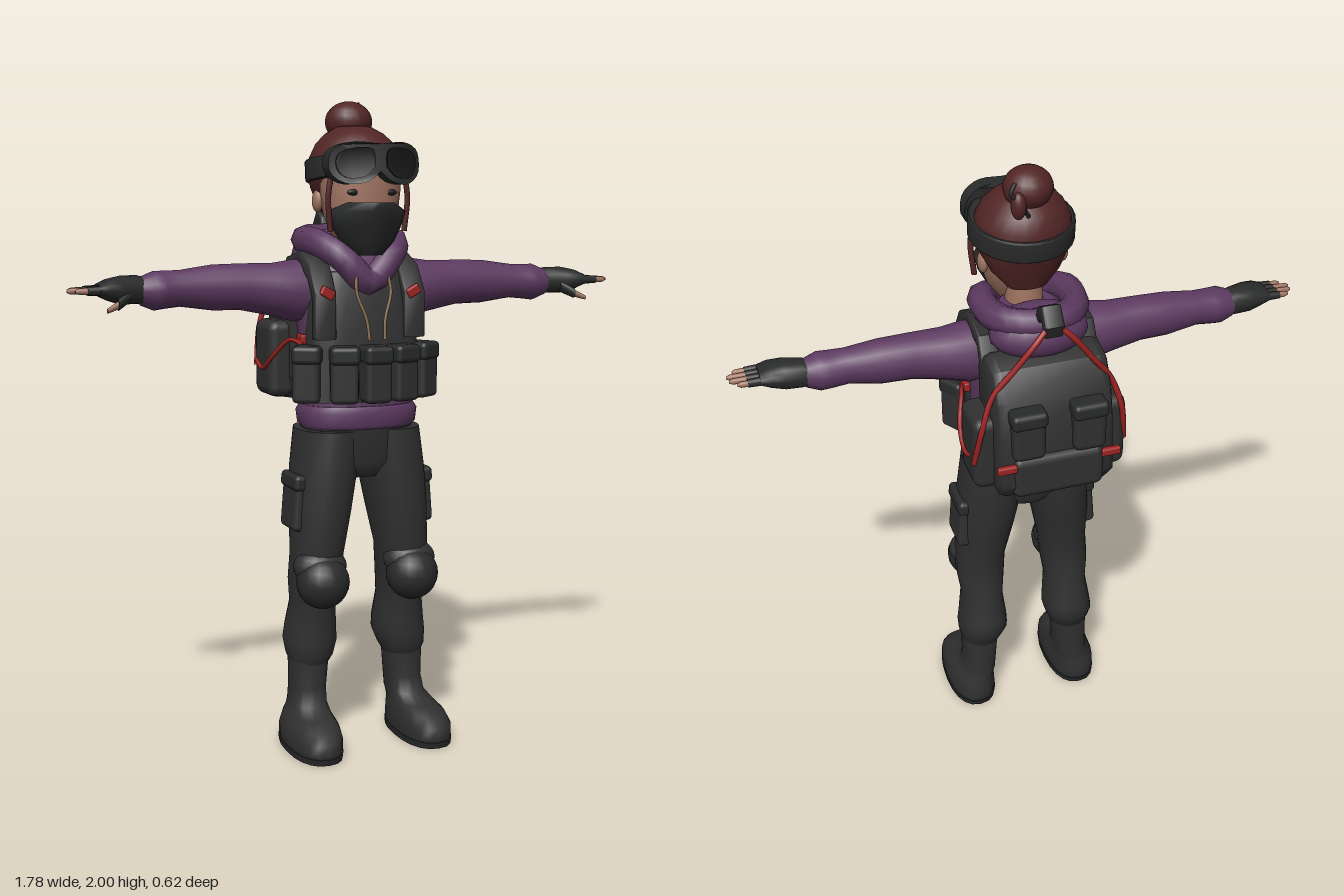
import * as THREE from 'three';
import { RoundedBoxGeometry } from 'three/addons/geometries/RoundedBoxGeometry.js';
import { toCreasedNormals } from 'three/addons/utils/BufferGeometryUtils.js';

const mat = (name, color) => {
  const m = new THREE.MeshStandardMaterial({ color });
  m.name = name;
  return m;
};
const V = (x, y, z) => new THREE.Vector3(x, y, z);

export function createModel() {
  const root = new THREE.Group();
  root.name = 'hooded traveller';
  const cloth = mat('charcoal cloth', 0x303030);
  const gear = mat('dark gear', 0x292a2a);
  const black = mat('black lens', 0x191a1b);
  const purple = mat('purple hoodie', 0x5c3960);
  const hair = mat('dark red hair', 0x522525);
  const skin = mat('skin', 0xa07462);
  const red = mat('red cord', 0x9c2422);
  const tan = mat('tan drawstring', 0x85694c);

  const add = (name, geo, m, pos = [0, 0, 0]) => {
    const mesh = new THREE.Mesh(geo, m);
    mesh.name = name;
    mesh.position.set(...pos);
    root.add(mesh);
    return mesh;
  };

  // Closed skin through horizontal superellipse rings: [y, cx, cz, rx, rz]
  const loft = (rings, p = 2, n = 20) => {
    const pos = [], idx = [];
    const ring = ([y, cx, cz, rx, rz]) => {
      for (let j = 0; j < n; j++) {
        const a = j / n * Math.PI * 2, c = Math.cos(a), s = Math.sin(a);
        pos.push(cx + rx * Math.sign(c) * Math.abs(c) ** (2 / p), y,
          cz + rz * Math.sign(s) * Math.abs(s) ** (2 / p));
      }
    };
    rings.forEach(ring);
    for (let i = 0; i < rings.length - 1; i++) for (let j = 0; j < n; j++) {
      const a = i * n + j, b = i * n + (j + 1) % n;
      idx.push(a, a + n, b, b, a + n, b + n);
    }
    [rings[0], rings[rings.length - 1]].forEach((r, top) => {
      const o = pos.length / 3;
      ring(r);
      pos.push(r[1], r[0], r[2]);
      for (let j = 0; j < n; j++) {
        const a = o + j, b = o + (j + 1) % n;
        idx.push(o + n, top ? b : a, top ? a : b);
      }
    });
    const g = new THREE.BufferGeometry();
    g.setAttribute('position', new THREE.Float32BufferAttribute(pos, 3));
    g.setIndex(idx);
    g.computeVertexNormals();
    return g;
  };

  const ball = (name, m, pos, r) =>
    add(name, new THREE.SphereGeometry(1, 18, 12).scale(...r), m, pos);
  const box = (name, m, pos, size, r = 0.015) =>
    add(name, new RoundedBoxGeometry(...size, 2, r), m, pos);
  const tube = (name, m, pts, r, closed = false) =>
    add(name, new THREE.TubeGeometry(new THREE.CatmullRomCurve3(pts.map(p => V(...p)), closed), 32, r, 8, closed), m);

  // Side outline of [z, y] points given a width along x
  const sideExtrude = (pts, width, bevel) => {
    const shape = new THREE.Shape(pts.map(p => new THREE.Vector2(...p)));
    const g = new THREE.ExtrudeGeometry(shape, {
      depth: width - 2 * bevel, bevelEnabled: bevel > 0, bevelSize: bevel, bevelThickness: bevel,
      bevelOffset: -bevel, bevelSegments: 2
    });
    g.translate(0, 0, bevel - width / 2).rotateY(-Math.PI / 2);
    return toCreasedNormals(g, 0.8);
  };

  // Head, neck and hair
  add('neck', loft([[1.45, 0, 0.04, 0.06, 0.06], [1.65, 0, 0.05, 0.055, 0.055]]), skin);
  add('face', loft([[1.53, 0, 0.13, 0.05, 0.05], [1.58, 0, 0.115, 0.09, 0.085],
    [1.65, 0, 0.1, 0.115, 0.1], [1.72, 0, 0.095, 0.125, 0.11], [1.8, 0, 0.085, 0.13, 0.115]]), skin);
  add('hair', loft([[1.62, 0, 0.01, 0.06, 0.035], [1.67, 0, 0.025, 0.105, 0.07], [1.73, 0, 0.045, 0.135, 0.115],
    [1.78, 0, 0.055, 0.146, 0.14], [1.82, 0, 0.057, 0.14, 0.142], [1.86, 0, 0.055, 0.12, 0.122],
    [1.89, 0, 0.05, 0.09, 0.09], [1.91, 0, 0.045, 0.055, 0.055], [1.918, 0, 0.04, 0.01, 0.01]], 2, 24), hair);
  ball('hair bun', hair, [0, 1.928, 0.005], [0.073, 0.062, 0.07]);
  ball('hair tuft', hair, [0.062, 1.925, -0.1], [0.022, 0.04, 0.022]);
  tube('hair stick', gear, [[0.02, 1.87, -0.06], [0.06, 1.94, -0.1], [0.085, 1.965, -0.105], [0.072, 1.995, -0.1]], 0.006);
  add('mask', loft([[1.53, 0, 0.16, 0.045, 0.045], [1.57, 0, 0.15, 0.085, 0.08], [1.62, 0, 0.145, 0.112, 0.103],
    [1.66, 0, 0.145, 0.122, 0.122], [1.685, 0, 0.175, 0.075, 0.093]], 1.7), gear);

  // Goggles, curved around the forehead
  const curved = (pts, depth, z) => {
    const s = new THREE.Shape();
    s.setFromPoints(new THREE.SplineCurve([...pts, pts[0]].map(p => new THREE.Vector2(...p))).getPoints(40));
    const g = new THREE.ExtrudeGeometry(s, { depth, bevelEnabled: false });
    const p = g.attributes.position;
    for (let i = 0; i < p.count; i++) p.setZ(i, p.getZ(i) + z - 2.4 * p.getX(i) ** 2);
    g.computeVertexNormals();
    return toCreasedNormals(g, 0.8);
  };
  add('goggle frame', curved([[0, 1.775], [0.04, 1.745], [0.1, 1.74], [0.142, 1.775], [0.135, 1.835], [0.08, 1.86],
    [0, 1.855], [-0.08, 1.86], [-0.135, 1.835], [-0.142, 1.775], [-0.1, 1.74], [-0.04, 1.745]], 0.05, 0.205), gear);
  add('goggle strap', loft([[-0.035, 0, 0, 0.152, 0.16], [-0.03, 0, 0, 0.156, 0.166],
    [0.025, 0, 0, 0.156, 0.166], [0.03, 0, 0, 0.15, 0.16]], 2, 28), gear, [0, 1.787, 0.07]).rotation.x = -0.1;

  for (const s of [-1, 1]) {
    add('goggle lens', curved([[0.018, 1.79], [0.05, 1.76], [0.1, 1.757], [0.125, 1.785], [0.12, 1.825],
      [0.075, 1.843], [0.025, 1.838]].map(([x, y]) => [s * x, y]), 0.006, 0.253), black);
    ball('eye', black, [s * 0.06, 1.715, 0.19], [0.02, 0.009, 0.006]);
    ball('ear', skin, [s * 0.122, 1.69, 0.055], [0.016, 0.034, 0.024]);
    tube('hair lock', hair, [[s * 0.118, 1.77, 0.16], [s * 0.128, 1.7, 0.16], [s * 0.12, 1.6, 0.155]], 0.009);
  }

  // Hoodie body, hem and hood
  add('hoodie body', loft([[1.02, 0, 0.065, 0.178, 0.125], [1.1, 0, 0.065, 0.175, 0.125], [1.25, 0, 0.05, 0.17, 0.125],
    [1.38, 0, 0.04, 0.185, 0.125], [1.47, 0, 0.03, 0.18, 0.11], [1.52, 0, 0.025, 0.14, 0.095],
    [1.56, 0, 0.02, 0.08, 0.07]], 2.4), purple);
  add('hoodie hem', loft([[1.005, 0, 0.068, 0.175, 0.125], [1.015, 0, 0.068, 0.185, 0.135],
    [1.055, 0, 0.068, 0.19, 0.138], [1.075, 0, 0.068, 0.178, 0.128]], 2.4), purple);
  tube('hood rim', purple, [[0, 1.45, 0.165], [0.075, 1.52, 0.15], [0.125, 1.565, 0.07], [0.13, 1.57, -0.03],
    [0.09, 1.575, -0.11], [0, 1.575, -0.14], [-0.09, 1.575, -0.11], [-0.13, 1.57, -0.03],
    [-0.125, 1.565, 0.07], [-0.075, 1.52, 0.15]], 0.043, true);
  ball('hood bag', purple, [0, 1.525, -0.09], [0.15, 0.08, 0.1]);

  // Vest with a row of pouches
  add('vest front', loft([[1.09, 0, 0.115, 0.185, 0.085], [1.25, 0, 0.105, 0.178, 0.085], [1.38, 0, 0.095, 0.17, 0.085],
    [1.48, 0, 0.08, 0.14, 0.07]], 3), cloth);
  add('vest belt', loft([[1.09, 0, 0.06, 0.188, 0.135], [1.15, 0, 0.06, 0.186, 0.135]], 2.6), gear);
  for (let i = -2; i <= 2; i++) {
    const z = 0.215 - 0.02 * i * i, x = i * 0.093, turn = i * 0.28;
    box('pouch', cloth, [x, 1.17, z], [0.084, 0.16, 0.085]).rotation.y = turn;
    box('pouch flap', gear, [x, 1.235, z + 0.005], [0.09, 0.055, 0.092]).rotation.y = turn;
  }

  // Backpack
  add('backpack', sideExtrude([[-0.05, 1.45], [-0.12, 1.49], [-0.2, 1.47], [-0.25, 1.39], [-0.275, 1.28],
    [-0.29, 1.12], [-0.24, 1.06], [-0.12, 1.07], [-0.05, 1.14]], 0.36, 0.03), cloth);
  box('backpack lower pocket', cloth, [0, 1.15, -0.265], [0.28, 0.14, 0.07], 0.025);
  add('backpack handle', sideExtrude([[-0.13, 1.56], [-0.16, 1.64], [-0.2, 1.66], [-0.24, 1.61], [-0.225, 1.57],
    [-0.2, 1.61], [-0.175, 1.6], [-0.16, 1.54]], 0.06, 0.008), gear);

  for (const s of [-1, 1]) {
    add('shoulder strap', sideExtrude([[0.185, 1.28], [0.185, 1.42], [0.13, 1.5], [0.04, 1.54], [-0.07, 1.52], [-0.13, 1.42],
      [-0.1, 1.4], [-0.06, 1.48], [0.03, 1.5], [0.11, 1.46], [0.15, 1.4], [0.15, 1.28]], 0.07, 0.008), cloth, [s * 0.145, 0, 0]);
    box('strap tab', red, [s * 0.14, 1.42, 0.18], [0.045, 0.03, 0.02], 0.006).rotation.z = s * 0.5;
    tube('drawstring', tan, [[s * 0.05, 1.48, 0.19], [s * 0.055, 1.42, 0.205], [s * 0.03, 1.34, 0.222], [s * 0.025, 1.28, 0.232]], 0.005);
    box('backpack back pocket', cloth, [s * 0.093, 1.29, -0.268], [0.1, 0.15, 0.075], 0.02);
    box('backpack pocket flap', gear, [s * 0.093, 1.35, -0.268], [0.108, 0.05, 0.085], 0.015);
    box('backpack side pocket', cloth, [s * 0.195, 1.2, -0.14], [0.085, 0.24, 0.16], 0.03);
    tube('backpack cord', red, [[s * 0.01, 1.61, -0.22], [s * 0.06, 1.56, -0.235], [s * 0.12, 1.48, -0.225],
      [s * 0.18, 1.4, -0.215], [s * 0.215, 1.3, -0.225], [s * 0.235, 1.17, -0.2]], 0.009);
    tube('side cord', red, [[s * 0.24, 1.19, -0.19], [s * 0.242, 1.17, -0.12], [s * 0.235, 1.21, -0.05],
      [s * 0.205, 1.27, 0.03], [s * 0.185, 1.26, 0.1]], 0.007);
    box('red buckle', red, [s * 0.16, 1.19, -0.288], [0.06, 0.025, 0.02], 0.006);
    box('red buckle', red, [s * 0.18, 1.275, 0.07], [0.02, 0.03, 0.05], 0.006);

    // Arm, glove and fingers, lofted upright then swung out: [x, y, z, ry, rz]
    const limb = (name, m, rings, p) => {
      add(name, loft(rings.map(([x, y, z, ry, rz]) => [x, -s * y, z, ry, rz]), p, 16), m).rotation.z = -s * Math.PI / 2;
    };
    limb('sleeve', purple, [[0.12, 1.42, 0.025, 0.09, 0.08], [0.19, 1.42, 0.025, 0.095, 0.085], [0.26, 1.425, 0.025, 0.08, 0.075],
      [0.36, 1.435, 0.025, 0.07, 0.065], [0.45, 1.435, 0.025, 0.068, 0.062], [0.55, 1.435, 0.03, 0.054, 0.052],
      [0.6, 1.432, 0.032, 0.056, 0.058], [0.63, 1.43, 0.035, 0.058, 0.058], [0.67, 1.43, 0.035, 0.042, 0.045]]);
    limb('glove', gear, [[0.64, 1.43, 0.035, 0.035, 0.04], [0.68, 1.435, 0.035, 0.042, 0.044], [0.73, 1.435, 0.045, 0.042, 0.052],
      [0.77, 1.437, 0.052, 0.032, 0.054], [0.8, 1.437, 0.055, 0.018, 0.05]], 2.3);
    for (let f = 0; f < 4; f++) {
      const z = 0.02 + f * 0.024, end = [0.865, 0.885, 0.89, 0.87][f];
      limb('glove finger', gear, [[0.78, 1.437, z, 0.014, 0.012], [0.835, 1.436, z, 0.012, 0.011]]);
      limb('fingertip', skin, [[0.82, 1.436, z, 0.01, 0.0095], [end - 0.01, 1.436, z, 0.009, 0.008], [end, 1.436, z, 0.004, 0.004]]);
    }
    limb('glove thumb', gear, [[0.71, 1.42, 0.07, 0.02, 0.02], [0.75, 1.395, 0.1, 0.016, 0.016]]);
    limb('thumb tip', skin, [[0.75, 1.395, 0.1, 0.012, 0.012], [0.785, 1.38, 0.115, 0.007, 0.007]]);

    // Trouser leg, pocket, knee pad and boot
    add('trouser leg', loft([[0.25, s * 0.16, 0.06, 0.055, 0.065], [0.285, s * 0.157, 0.06, 0.072, 0.085],
      [0.33, s * 0.152, 0.05, 0.082, 0.098], [0.37, s * 0.15, 0.052, 0.078, 0.098], [0.45, s * 0.148, 0.065, 0.068, 0.09],
      [0.53, s * 0.148, 0.08, 0.078, 0.095], [0.62, s * 0.142, 0.09, 0.08, 0.1], [0.75, s * 0.128, 0.08, 0.092, 0.12],
      [0.88, s * 0.112, 0.07, 0.1, 0.13], [1.0, s * 0.098, 0.065, 0.098, 0.132]], 2.2), cloth);
    box('cargo pocket', cloth, [s * 0.205, 0.765, 0.075], [0.05, 0.15, 0.13]).rotation.z = s * 0.08;
    box('cargo pocket flap', gear, [s * 0.203, 0.84, 0.075], [0.056, 0.05, 0.14]).rotation.z = s * 0.08;
    ball('knee pad', gear, [s * 0.15, 0.535, 0.165], [0.083, 0.082, 0.078]);
    ball('knee pad rim', cloth, [s * 0.15, 0.58, 0.14], [0.085, 0.06, 0.065]);
    add('boot', loft([[0, s * 0.184, 0.14, 0.074, 0.155], [0.025, s * 0.184, 0.14, 0.08, 0.165], [0.06, s * 0.184, 0.14, 0.08, 0.162],
      [0.09, s * 0.18, 0.13, 0.072, 0.148], [0.108, s * 0.175, 0.1, 0.062, 0.115], [0.13, s * 0.168, 0.067, 0.057, 0.08],
      [0.18, s * 0.164, 0.058, 0.056, 0.07], [0.29, s * 0.16, 0.06, 0.062, 0.072]], 2.4), cloth);
    add('boot sole', loft([[0, s * 0.184, 0.14, 0.08, 0.162], [0.02, s * 0.184, 0.14, 0.082, 0.167]], 2.4), gear);
  }
  add('trouser hips', loft([[0.85, 0, 0.06, 0.08, 0.09], [0.9, 0, 0.065, 0.16, 0.12], [1.03, 0, 0.065, 0.178, 0.128]], 2.4), cloth);

  return root;
}
